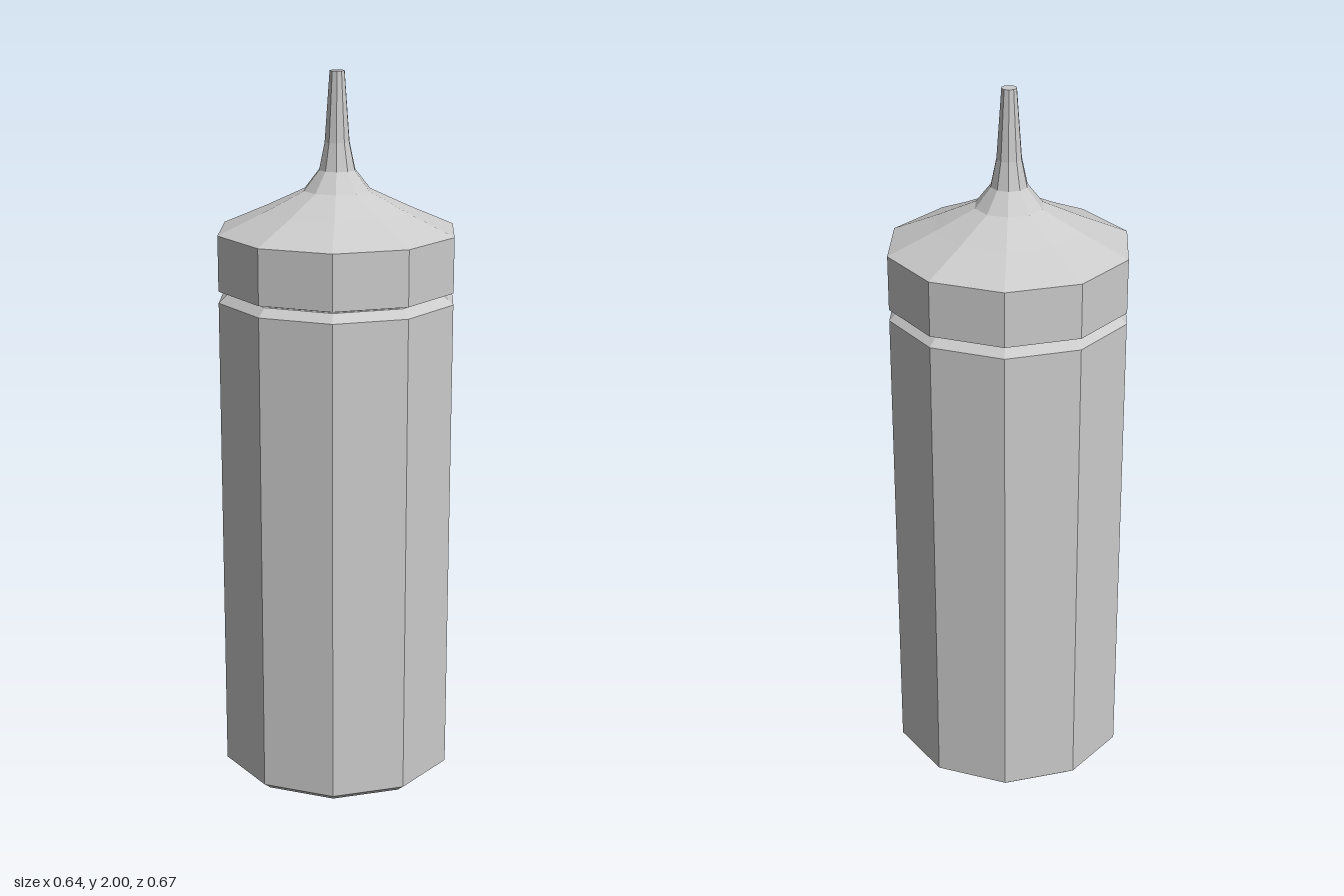
import * as THREE from 'three';

const SIDES = 10;

// Ten-sided faceted solid turned from [radius, height] pairs, bottom to top
function turned(name, profile, material) {
  const points = profile.map(([r, y]) => new THREE.Vector2(r, y));
  const mesh = new THREE.Mesh(new THREE.LatheGeometry(points, SIDES), material);
  mesh.name = name;
  return mesh;
}

export function createModel() {
  const group = new THREE.Group();
  group.name = 'squeezeBottle';
  const material = new THREE.MeshStandardMaterial({ color: 0xcccccc, flatShading: true });

  // Body with bevelled base and shoulder, and a short neck up into the cap
  group.add(turned('body', [
    [0, 0], [0.31, 0], [0.335, 0.02], [0.335, 1.385], [0.31, 1.408], [0.3, 1.408], [0.3, 1.43],
  ], material));

  // Screw cap with sloping top
  group.add(turned('cap', [
    [0, 1.417], [0.335, 1.417], [0.335, 1.57], [0.205, 1.627], [0.094, 1.68],
  ], material));

  // Tapered nozzle with closed tip
  group.add(turned('nozzle', [
    [0.094, 1.68], [0.051, 1.735], [0.035, 1.81], [0.021, 2], [0, 2],
  ], material));

  return group;
}
